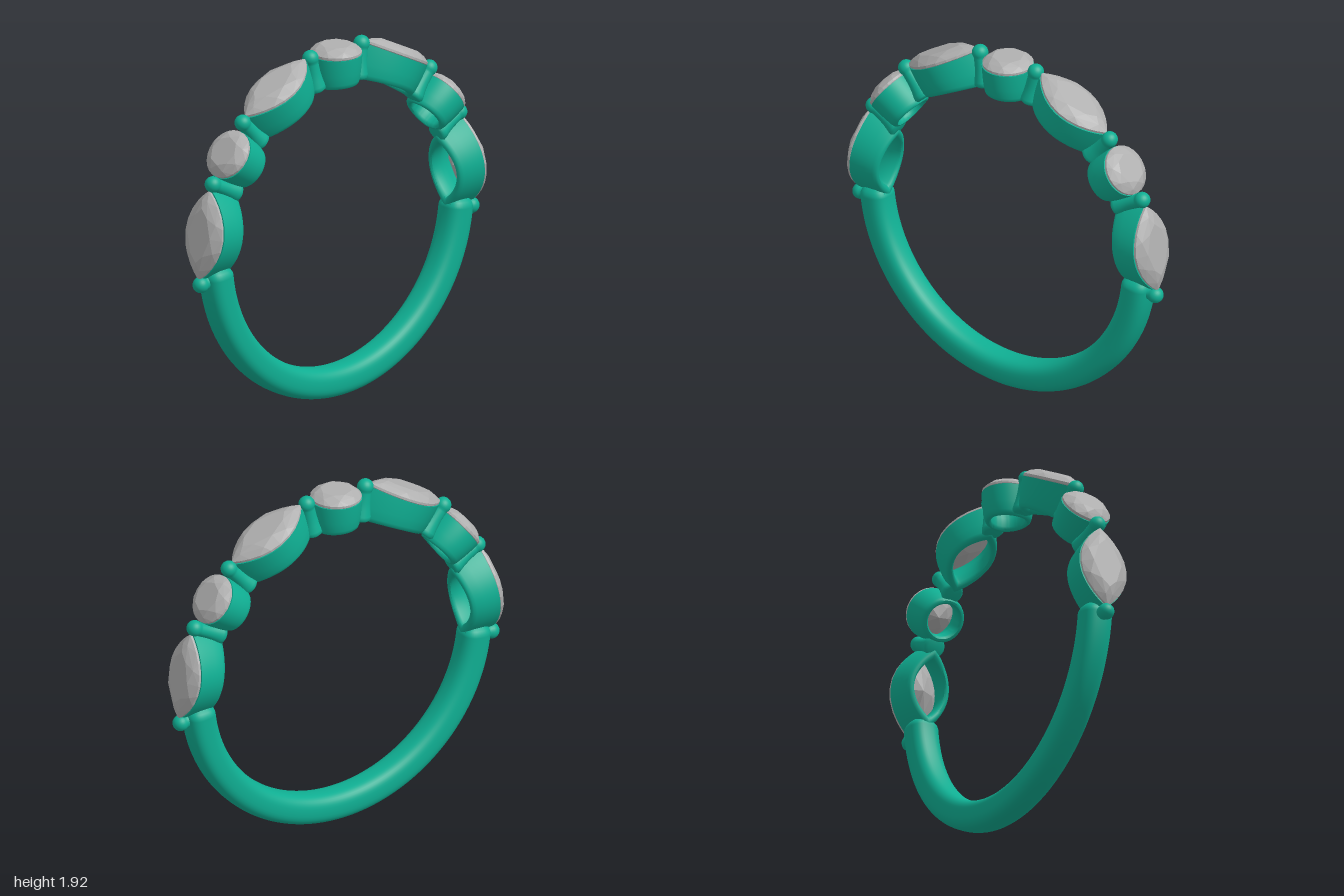
import * as THREE from 'three';
import { toCreasedNormals } from 'three/addons/utils/BufferGeometryUtils.js';
import { ParametricGeometry } from 'three/addons/geometries/ParametricGeometry.js';
import { ConvexGeometry } from 'three/addons/geometries/ConvexGeometry.js';

const CENTER_Y = 0.93, INNER = 0.767, OUTER = 0.93;
const rad = THREE.MathUtils.degToRad;
const signedPow = (v, p) => Math.sign(v) * Math.pow(Math.abs(v), p);

// half length, half width and pointedness (1 = ellipse, 2 = pointed lens)
const ROUND = { len: 0.135, wid: 0.138, point: 1 };
const MARQUISE = { len: 0.24, wid: 0.14, point: 1.8 };

const outline = (s, a, k) => [s.len * k * Math.cos(a), -s.wid * k * signedPow(Math.sin(a), s.point)];

// plain shank: rounded section swept round the lower part, ends closing inside the settings
function bandGeometry() {
  const start = rad(92), end = rad(268);
  const mid = (INNER + OUTER) / 2, half = (OUTER - INNER) / 2;
  return new ParametricGeometry((u, v, target) => {
    const b = u * Math.PI * 2, th = start + (end - start) * v;
    const e = Math.min(1, Math.min(v, 1 - v) / 0.025);
    const s = Math.sqrt(Math.max(0, 1 - (1 - e) ** 2));
    const r = mid + half * s * signedPow(Math.cos(b), 0.75);
    target.set(r * Math.sin(th), r * Math.cos(th), 0.083 * s * signedPow(Math.sin(b), 0.75));
  }, 40, 160);
}

// open collar: wall section [outline scale, height] run round the stone outline,
// its lower edge following the finger hole
function bezelGeometry(shape) {
  const rows = [[0.64, 0.12], [0.66, 0.04], [0.72, 0], [0.8, 0.01], [0.86, 0.06], [0.9, 0.16],
    [0.95, 0.45], [0.99, 0.8], [1, 1], [0.9, 1], [0.78, 0.7], [0.64, 0.4], [0.64, 0.12]];
  const top = 0.928, n = rows.length - 1;
  const geo = new ParametricGeometry((u, v, target) => {
    const [k, h] = rows[Math.min(n, Math.max(0, Math.round(v * n)))];
    const [x, z] = outline(shape, u * Math.PI * 2, k);
    const low = Math.sqrt(INNER * INNER - x * x);
    target.set(x, low + h * (top - low), z);
  }, 64, n);
  return toCreasedNormals(geo, 0.7);
}

// faceted stone: culet, girdle, crown and table
function stoneGeometry(shape) {
  const pts = [new THREE.Vector3(0, 0.83, 0)];
  const ring = (count, k, y, shift = 0) => {
    for (let i = 0; i < count; i++) {
      const [x, z] = outline(shape, ((i + shift) / count) * Math.PI * 2, k);
      pts.push(new THREE.Vector3(x, y, z));
    }
  };
  ring(8, 0.55, 0.875);
  ring(24, 0.985, 0.932);
  ring(24, 0.985, 0.944);
  ring(8, 0.83, 0.966, 0.5);
  ring(8, 0.6, 0.981);
  return new ConvexGeometry(pts);
}

// round post flaring at the foot, with a ball tip
function prongGeometry() {
  const pts = [[0, 0.775], [0.045, 0.775], [0.057, 0.787], [0.055, 0.805], [0.046, 0.84],
    [0.04, 0.88], [0.037, 0.93]].map(([r, y]) => new THREE.Vector2(r, y));
  for (let i = 0; i <= 10; i++) {
    const a = -0.5 + (i / 10) * (Math.PI / 2 + 0.5);
    pts.push(new THREE.Vector2(Math.max(0, 0.043 * Math.cos(a)), 0.96 + 0.043 * Math.sin(a)));
  }
  return new THREE.LatheGeometry(pts, 28);
}

export function createModel() {
  const model = new THREE.Group();
  model.name = 'ring';
  const metal = new THREE.MeshStandardMaterial({ color: 0x0fae92 });
  const gem = new THREE.MeshStandardMaterial({ color: 0xb0b0b0, flatShading: true });

  const hoop = new THREE.Group();
  hoop.name = 'hoop';
  hoop.position.y = CENTER_Y;
  model.add(hoop);

  const add = (name, geo, mat, degrees = 0) => {
    const mesh = new THREE.Mesh(geo, mat);
    mesh.name = name;
    mesh.rotation.z = -rad(degrees);
    hoop.add(mesh);
  };

  add('band', bandGeometry(), metal);

  // alternating round and pointed stones over the upper half
  const kinds = [
    { name: 'round', shape: ROUND, angles: [-54, 0, 54] },
    { name: 'marquise', shape: MARQUISE, angles: [-81, -27, 27, 81] },
  ];
  for (const { name, shape, angles } of kinds) {
    const bezel = bezelGeometry(shape), stone = stoneGeometry(shape);
    for (const a of angles) {
      add(name + 'Bezel', bezel, metal, a);
      add(name + 'Stone', stone, gem, a);
    }
  }

  // a prong at each end of every setting
  const prong = prongGeometry();
  for (const a of [10.8, 43.2, 64.6, 97]) {
    add('leftProng', prong, metal, a);
    add('rightProng', prong, metal, -a);
  }
  return model;
}
